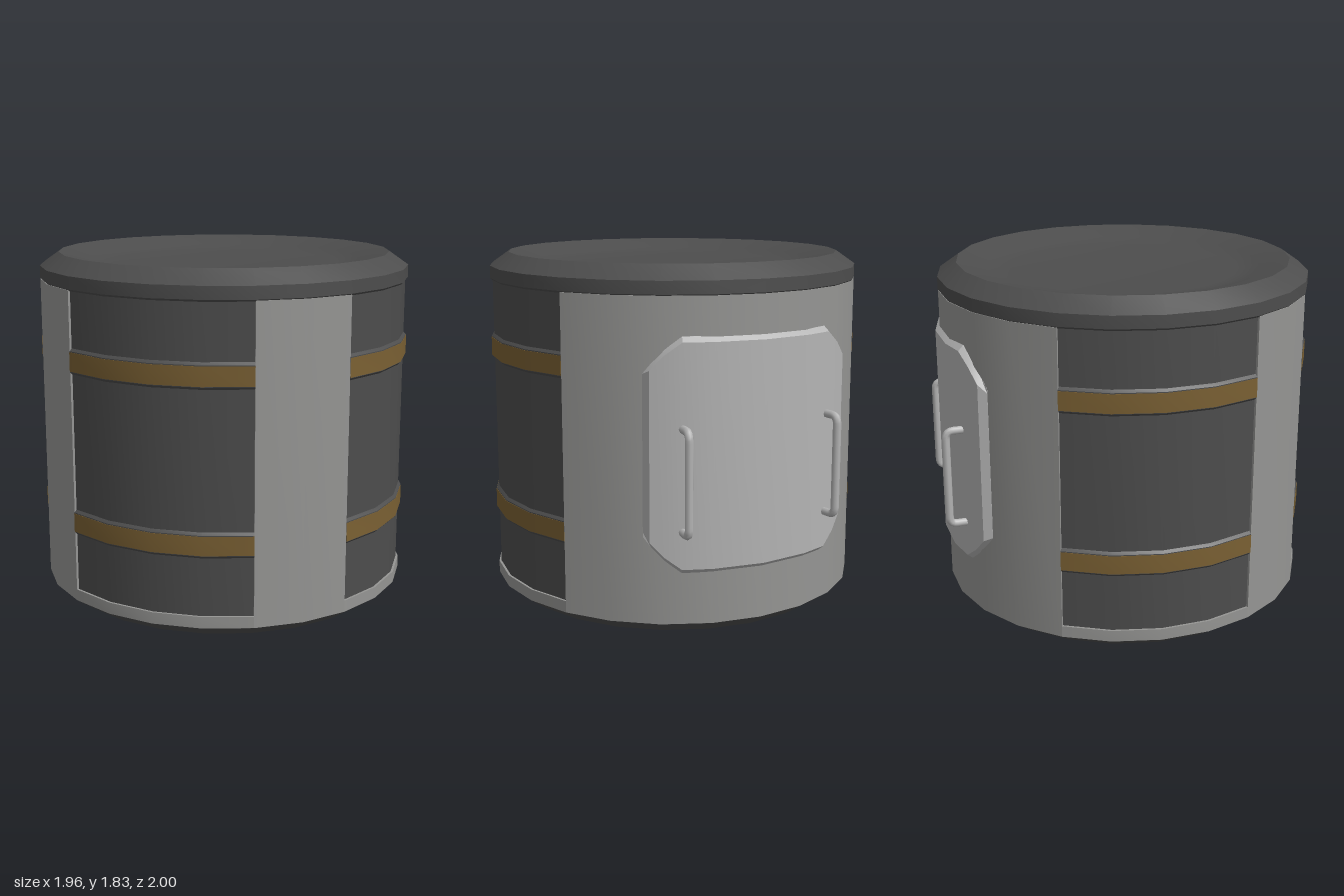
import * as THREE from 'three';
import { toCreasedNormals } from 'three/addons/utils/BufferGeometryUtils.js';

const mat = (name, color) => Object.assign(new THREE.MeshStandardMaterial({ color }), { name });
const RAD = Math.PI / 180;
const CREASE = 22 * RAD;

// Curved slab: columns are [angle in degrees, radius limit], profile(angle) gives rising [radius, y] points.
function slab(columns, profile) {
  const pos = [], idx = [];
  let n = 0;
  columns.forEach(([a, limit], i) => {
    const pts = profile(a);
    n = pts.length;
    for (const [r, y] of pts) {
      const q = Math.min(r, limit);
      pos.push(q * Math.sin(a * RAD), y, q * Math.cos(a * RAD));
    }
    if (i === 0) return;
    for (let j = 0; j < n - 1; j++) {
      const p = (i - 1) * n + j, s = i * n + j;
      idx.push(p, s, p + 1, s + 1, p + 1, s);
    }
  });
  const g = new THREE.BufferGeometry();
  g.setAttribute('position', new THREE.Float32BufferAttribute(pos, 3));
  g.setIndex(idx);
  g.computeVertexNormals();
  return toCreasedNormals(g, CREASE);
}

// Columns every 15 degrees with closed ends
function arc(from, to) {
  const cols = [[from, 0.94]];
  for (let a = from; a <= to; a += 15) cols.push([a, 2]);
  cols.push([to, 0.94]);
  return cols;
}

const block = (r, y0, y1, bevel = 0) => () =>
  [[0.94, y0], [r - bevel, y0], [r, y0 + bevel], [r, y1 - bevel], [r - bevel, y1], [0.94, y1]];

export function createModel() {
  const dark = mat('dark metal', 0x4d4d4d);
  const gray = mat('gray metal', 0x959593);
  const light = mat('light metal', 0xb4b4b4);
  const gold = mat('dull gold', 0x7a6033);

  const model = new THREE.Group();
  model.name = 'canister';
  const body = new THREE.Group();
  body.name = 'body';
  body.position.z = 0.02;
  model.add(body);

  const add = (name, geo, material, parent = body) => {
    const m = new THREE.Mesh(geo, material);
    m.name = name;
    parent.add(m);
    return m;
  };
  const ring = (points) => toCreasedNormals(
    new THREE.LatheGeometry(points.map(([r, y]) => new THREE.Vector2(r, y)), 24), CREASE);

  // Chamfered end caps with softly dished faces
  const dish = [[0, 0.062], [0.6, 0.062], [0.66, 0.056], [0.72, 0.041], [0.8, 0.018], [0.88, 0]];
  add('bottomCap', ring([...dish, [0.98, 0.07], [0.9, 0.07]]), dark);
  add('topCap', ring([[0.9, 1.685], [0.97, 1.685], [0.98, 1.695], [0.98, 1.76],
    ...dish.map(([r, y]) => [r, 1.83 - y]).reverse()]), dark);

  // Core
  add('core', ring([[0.95, 0.07], [0.95, 1.69]]), gray);

  // Front pillars and the wide back wall
  const wall = block(0.979, 0.07, 1.69);
  add('rightPillar', slab(arc(-60, -30), wall), gray);
  add('leftPillar', slab(arc(30, 60), wall), gray);
  add('backWall', slab(arc(120, 240), wall), gray);

  // Recessed dark panels over a gray sill, each with two gold bands
  for (const [side, a] of [['front', 0], ['left', 90], ['right', 270]]) {
    const cols = arc(a - 30, a + 30);
    add(side + 'Sill', slab(cols, block(0.979, 0.07, 0.13)), gray);
    add(side + 'Panel', slab(cols, block(0.967, 0.12, 1.69)), dark);
    for (const y of [0.497, 1.335]) {
      add(side + 'BandFrame', slab(cols, block(0.98, y - 0.066, y + 0.066, 0.013)), dark);
      add(side + 'BandStripe', slab(cols, block(0.982, y - 0.05, y + 0.048)), gold);
    }
  }

  // Curved back hatch with rounded-off corners and bevelled edge
  const half = [[35.2, 0.94], [35.2, 0.972], [33, 1.003], [29, 1.003], [24, 2], [15, 2]];
  const hatchColumns = [
    ...half.map(([a, r]) => [180 - a, r]), [180, 2],
    ...half.map(([a, r]) => [180 + a, r]).reverse(),
  ];
  add('backHatch', slab(hatchColumns, (a) => {
    const cut = 0.18 * (Math.max(0, Math.abs(a - 180) - 24) / 11.2) ** 1.3;
    const y0 = 0.335 + cut, y1 = 1.5 - cut;
    return [[0.94, y0], [0.975, y0], [1.003, y0 + 0.025], [1.003, y1 - 0.025], [0.975, y1], [0.94, y1]];
  }), light);

  // Pair of bent handles on the hatch
  for (const s of [-1, 1]) {
    const path = new THREE.CurvePath();
    const p = (t, y) => new THREE.Vector3(s * (0.4 + 0.015 * t), y, -0.87 - 0.11 * t);
    path.add(new THREE.LineCurve3(p(0, 0.55), p(0.65, 0.55)));
    path.add(new THREE.QuadraticBezierCurve3(p(0.65, 0.55), p(1, 0.55), p(1, 0.59)));
    path.add(new THREE.LineCurve3(p(1, 0.59), p(1, 1.02)));
    path.add(new THREE.QuadraticBezierCurve3(p(1, 1.02), p(1, 1.06), p(0.65, 1.06)));
    path.add(new THREE.LineCurve3(p(0.65, 1.06), p(0, 1.06)));
    add(s > 0 ? 'leftHandle' : 'rightHandle', new THREE.TubeGeometry(path, 48, 0.021, 8), light, model);
  }
  return model;
}
